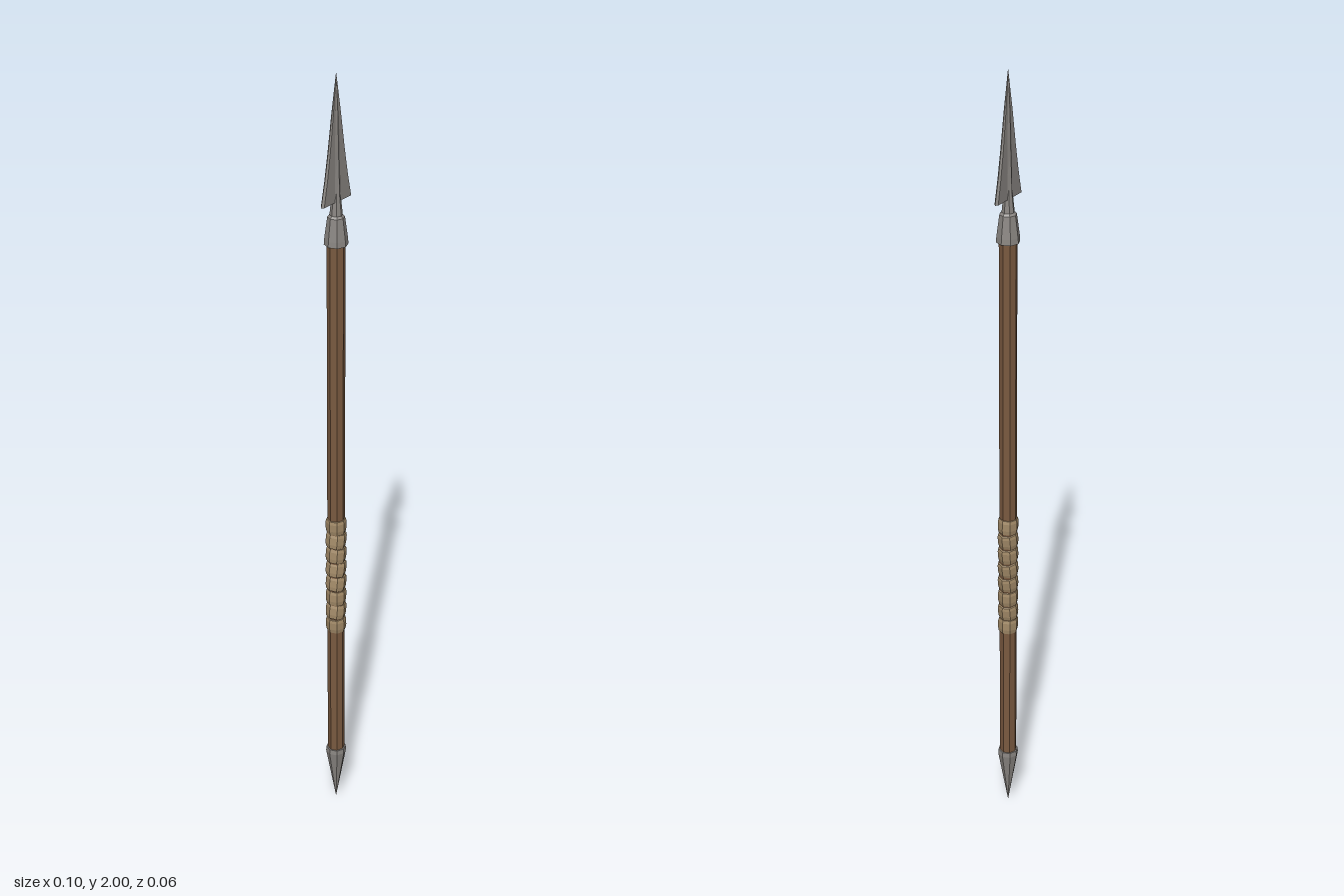
import * as THREE from 'three';

const SIDES = 8;

function material(name, color) {
  const m = new THREE.MeshStandardMaterial({ color, flatShading: true });
  m.name = name;
  return m;
}

// Faceted turned part from [radius, y] points, listed from bottom to top
function turned(name, points, mat) {
  const profile = points.map(([r, y]) => new THREE.Vector2(r, y));
  const mesh = new THREE.Mesh(new THREE.LatheGeometry(profile, SIDES), mat);
  mesh.name = name;
  return mesh;
}

// Flat blade with bevelled edges and a raised midrib, lofted through cross-sections
function bladeGeometry() {
  // y, half width, edge half thickness, midrib half thickness
  const rows = [
    [1.702, 0.052, 0.005, 0.011],
    [1.76, 0.039, 0.0045, 0.009],
    [1.82, 0.028, 0.004, 0.007],
    [1.91, 0.014, 0.003, 0.005],
    [2.0, 0.0004, 0.0002, 0.0003],
  ];
  const pos = [], index = [], n = 12;
  for (const [y, w, e, r] of rows) {
    const inner = Math.min(0.009, w * 0.35);
    const half = [[w, 0], [w * 0.9, e], [inner, e], [0, r], [-inner, e], [-w * 0.9, e]];
    for (const [x, z] of half) pos.push(x, y, z);
    for (const [x, z] of half) pos.push(-x, y, -z);
  }
  for (let k = 0; k < rows.length - 1; k++) {
    for (let i = 0; i < n; i++) {
      const a = k * n + i, b = k * n + (i + 1) % n;
      index.push(a, a + n, b, b, a + n, b + n);
    }
  }
  // Underside and tip caps
  const base = pos.length / 3, top = (rows.length - 1) * n;
  pos.push(0, rows[0][0], 0, 0, 2, 0);
  for (let i = 0; i < n; i++) {
    const j = (i + 1) % n;
    index.push(base, i, j, base + 1, top + j, top + i);
  }
  const g = new THREE.BufferGeometry();
  g.setAttribute('position', new THREE.Float32BufferAttribute(pos, 3));
  g.setIndex(index);
  g.computeVertexNormals();
  return g;
}

export function createModel() {
  const steel = material('steel', 0x8a8682);
  const wood = material('wood', 0x7a5a40);
  const leather = material('leather', 0xa28a68);

  const model = new THREE.Group();
  model.name = 'spear';

  // Shaft
  model.add(turned('shaft', [[0.0215, 0.15], [0.0215, 1.61]], wood));

  // Pointed butt
  model.add(turned('buttSpike', [[0, 0], [0.026, 0.155], [0.025, 0.168], [0, 0.168]], steel));

  // Socket and neck under the blade
  model.add(turned('socket', [[0, 1.598], [0.028, 1.598], [0.027, 1.612], [0.02, 1.665],
    [0.015, 1.67], [0.011, 1.71], [0.004, 1.76]], steel));

  // Barbed blade
  const blade = new THREE.Mesh(bladeGeometry(), steel);
  blade.name = 'blade';
  model.add(blade);

  // Grip wound from slightly slanted bands
  const grip = new THREE.Group();
  grip.name = 'grip';
  const tilts = [0.04, -0.12, -0.05, -0.14, -0.16, -0.1, -0.13, 0.03];
  tilts.forEach((tilt, i) => {
    const band = turned('gripBand', [[0.02, -0.0205], [0.0235, -0.019], [0.0255, -0.008],
      [0.0255, 0.011], [0.0235, 0.019], [0.02, 0.0205]], leather);
    band.position.y = 0.56 + i * 0.0415;
    band.rotation.z = tilt;
    grip.add(band);
  });
  model.add(grip);

  return model;
}
